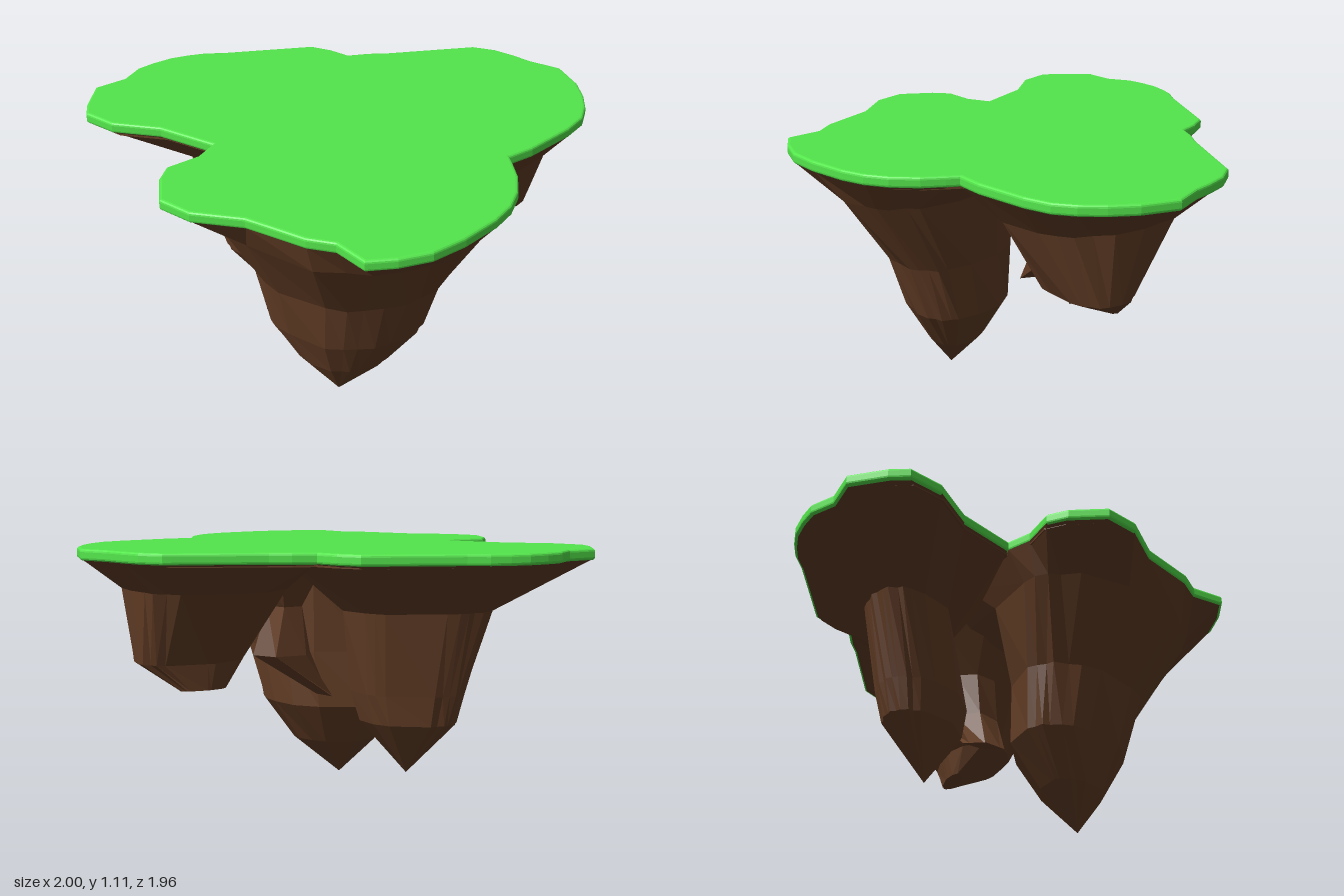
import * as THREE from 'three';

const rockMat = new THREE.MeshStandardMaterial({ color: 0x643e26, flatShading: true });
const grassMat = new THREE.MeshStandardMaterial({ color: 0x54e64c });

// Rim of each lobe as [x, z], running clockwise seen from above
const frontRim = [[0.31, 0.6], [0.27, 0.69], [0.2, 0.79], [0.12, 0.86], [0.02, 0.91], [-0.15, 0.96], [-0.3, 0.98],
  [-0.43, 0.955], [-0.54, 0.91], [-0.57, 0.76], [-0.65, 0.68], [-0.78, 0.45], [-0.94, 0.31], [-1, 0.17],
  [-0.94, 0.02], [-0.88, -0.05], [-0.74, -0.07], [-0.65, -0.13]];
const backRim = [[-0.78, -0.36], [-0.94, -0.5], [-1, -0.64], [-0.97, -0.72], [-0.88, -0.86], [-0.74, -0.88],
  [-0.65, -0.95], [-0.57, -0.97], [-0.48, -0.98], [-0.4, -0.97], [-0.32, -0.95], [-0.24, -0.91], [0.14, -0.77],
  [0.2, -0.69], [0.24, -0.6]];
const sideRim = [[0.33, -0.57], [0.41, -0.53], [0.79, -0.39], [0.86, -0.31], [0.9, -0.22], [0.93, -0.13], [1, 0],
  [0.97, 0.16], [0.92, 0.27], [0.86, 0.36], [0.79, 0.43], [0.68, 0.48], [0.45, 0.54], [0.33, 0.55]];

function plate(points, y, height, bevel, mat, name) {
  const shape = new THREE.Shape(points.map(([x, z]) => new THREE.Vector2(x, -z)));
  const geo = new THREE.ExtrudeGeometry(shape, {
    depth: height - 2 * bevel, bevelEnabled: bevel > 0, bevelThickness: bevel, bevelSize: bevel,
    bevelOffset: -bevel, bevelSegments: 3,
  });
  geo.rotateX(-Math.PI / 2).translate(0, y + bevel, 0);
  const mesh = new THREE.Mesh(geo, mat);
  mesh.name = name;
  return mesh;
}

// Faceted rock: a rim at topY, then rounded sections [y, xMin, xMax, zMin, zMax], closed at tip.
// skew draws the sections out along the x = z diagonal.
function rock(name, rim, topY, sections, tip, skew = 0) {
  const cx = (sections[0][1] + sections[0][2]) / 2;
  const cz = (sections[0][3] + sections[0][4]) / 2;
  const round = (v) => Math.sign(v) * Math.abs(v) ** 0.9;
  const rings = [rim.map(([x, z]) => [x * 0.994, topY, z * 0.994])];
  for (const [y, x0, x1, z0, z1] of sections) {
    rings.push(rim.map(([x, z], i) => {
      const a = Math.atan2(z - cz, x - cx);
      const k = 1 + 0.025 * Math.sin(i * 2.4 + y * 9);
      const px = (x0 + x1) / 2 + (x1 - x0) / 2 * round(Math.cos(a - skew)) * k - cx;
      const pz = (z0 + z1) / 2 + (z1 - z0) / 2 * round(Math.sin(a + skew)) * k - cz;
      // Keep every section inside the rim
      const s = Math.min(1, 0.93 * Math.hypot(x - cx, z - cz) / Math.hypot(px, pz));
      return [cx + px * s, y, cz + pz * s];
    }));
  }
  rings.push(rim.map(() => tip));
  const pos = [];
  const n = rim.length;
  for (let r = 0; r < rings.length - 1; r++) {
    for (let i = 0; i < n; i++) {
      const j = (i + 1) % n;
      const [a, b, c, d] = [rings[r][i], rings[r][j], rings[r + 1][i], rings[r + 1][j]];
      pos.push(...a, ...b, ...c);
      if (r < rings.length - 2) pos.push(...b, ...d, ...c);
    }
  }
  const geo = new THREE.BufferGeometry();
  geo.setAttribute('position', new THREE.Float32BufferAttribute(pos, 3));
  geo.computeVertexNormals();
  const mesh = new THREE.Mesh(geo, rockMat);
  mesh.name = name;
  return mesh;
}

export function createModel() {
  const group = new THREE.Group();
  group.name = 'floatingIsland';
  const outline = [...frontRim, ...backRim, ...sideRim];

  // Grass slab with rounded edge, and the earth layer under it
  group.add(plate(outline, 1.065, 0.047, 0.012, grassMat, 'grassTop'));
  group.add(plate(outline.map(([x, z]) => [x * 0.97, z * 0.97]), 1.055, 0.02, 0, rockMat, 'earthLayer'));

  // Large front spike
  group.add(rock('frontSpike', [...frontRim, [-0.3, -0.2], [0.1, -0.1], [0.25, 0.1], [0.33, 0.35]], 1.07, [
    [0.935, -0.77, 0.13, -0.1, 0.84],
    [0.615, -0.6, 0.06, -0.02, 0.62],
    [0.36, -0.55, 0.02, -0.01, 0.53],
    [0.175, -0.45, -0.11, 0.12, 0.42],
  ], [-0.31, 0, 0.28], 0.18));

  // Back spike
  group.add(rock('backSpike', [[-0.65, -0.13], ...backRim, [0.25, -0.3], [-0.1, -0.1], [-0.35, -0.08]], 1.07, [
    [0.85, -0.58, -0.01, -0.66, -0.24],
    [0.5, -0.5, -0.07, -0.59, -0.17],
    [0.37, -0.47, -0.11, -0.56, -0.2],
  ], [-0.3, 0.14, -0.37], 0.2));

  // Blunt side stub
  group.add(rock('sideStub', [[0.24, -0.6], ...sideRim, [0.12, 0.42], [0.04, 0.2], [0.04, 0], [0.1, -0.25]], 1.07, [
    [0.935, 0.12, 0.79, -0.32, 0.42],
    [0.62, 0.27, 0.75, -0.07, 0.25],
    [0.505, 0.39, 0.59, -0.05, 0.02],
  ], [0.49, 0.5, -0.02]));

  // Small slanted chunk between the lobes
  const chunkRim = [0, 1, 2, 3, 4, 5].map((i) => {
    const a = i * Math.PI / 3;
    return [0.12 + 0.22 * Math.cos(a), -0.04 + 0.22 * Math.sin(a)];
  });
  group.add(rock('middleChunk', chunkRim, 1.06, [
    [0.85, 0.04, 0.2, -0.14, 0.07],
    [0.64, 0, 0.27, -0.15, 0.08],
    [0.45, -0.18, -0.03, -0.15, 0.07],
  ], [-0.1, 0.45, -0.04]));

  return group;
}
